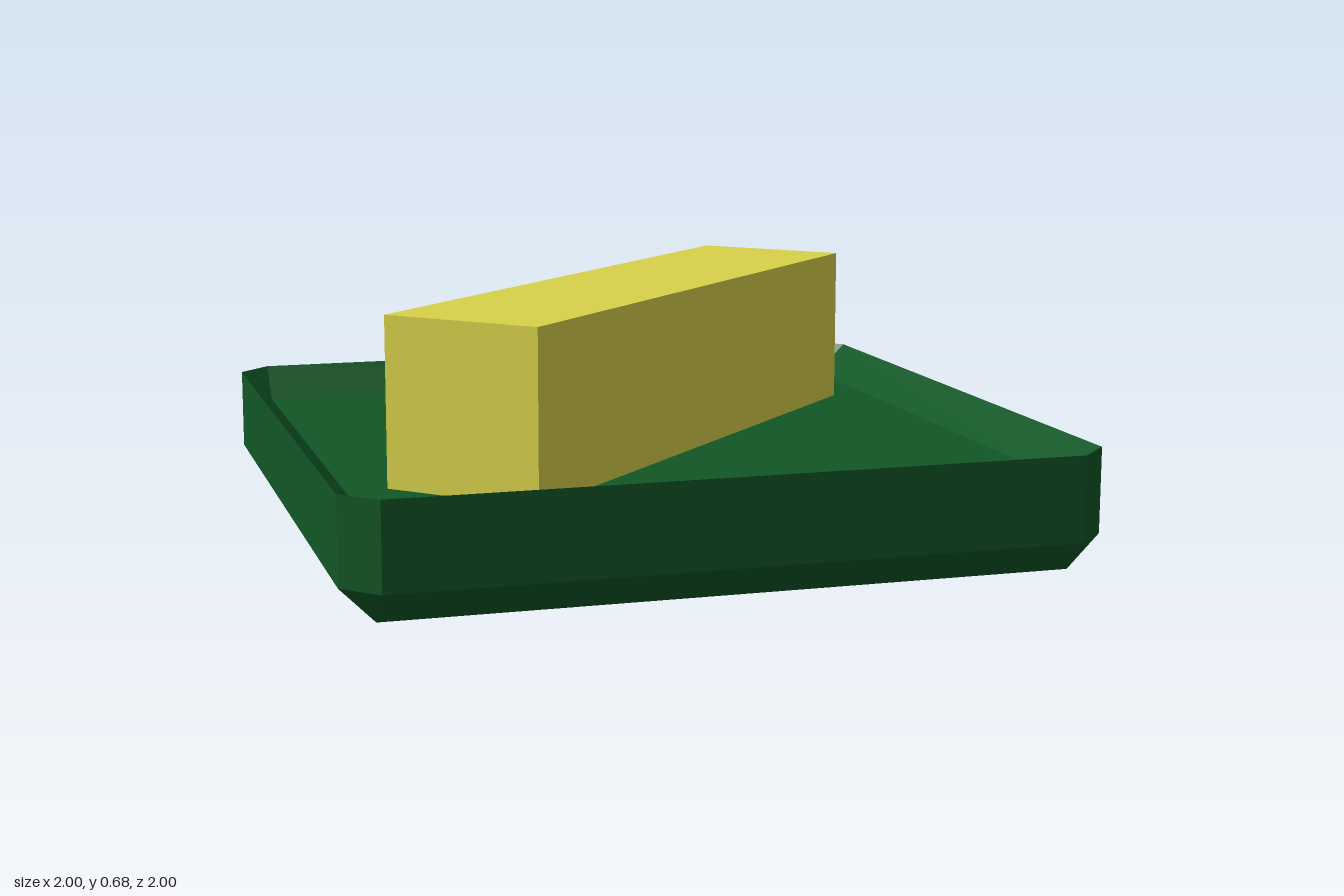
import * as THREE from 'three';

const green = new THREE.MeshStandardMaterial({ color: 0x115626 });
green.name = 'dark green';
const yellow = new THREE.MeshStandardMaterial({ color: 0xd8d24a });
yellow.name = 'yellow';

const BEVEL = 0.09, INNER = 1 - BEVEL, RIM = 0.32, FLOOR = RIM - BEVEL;

// Square outline with cut corners; a limit of INNER collapses the cuts to sharp corners
const outline = [
  [1, -INNER], [1, INNER], [INNER, 1], [-INNER, 1],
  [-1, INNER], [-1, -INNER], [-INNER, -1], [INNER, -1],
];
function ring(limit, y) {
  const c = (v) => THREE.MathUtils.clamp(v, -limit, limit);
  return outline.map(([x, z]) => new THREE.Vector3(c(x), y, c(z)));
}

// Skin successive rings with flat faces, skipping collapsed triangles
function skin(rings) {
  const points = [];
  const tri = new THREE.Triangle();
  const add = (a, b, c) => {
    if (tri.set(a, b, c).getArea() > 1e-6) points.push(a, b, c);
  };
  for (let r = 0; r < rings.length - 1; r++) {
    const lo = rings[r], hi = rings[r + 1];
    for (let i = 0; i < lo.length; i++) {
      const j = (i + 1) % lo.length;
      add(lo[i], hi[i], hi[j]);
      add(lo[i], hi[j], lo[j]);
    }
  }
  const geometry = new THREE.BufferGeometry().setFromPoints(points);
  geometry.computeVertexNormals();
  return geometry;
}

export function createModel() {
  const model = new THREE.Group();
  model.name = 'trayWithBar';

  // Shallow tray: bevelled underside, upright sides, rim sloping in to a sunken floor
  const tray = new THREE.Mesh(skin([
    ring(0, 0),
    ring(INNER, 0),
    ring(1, BEVEL),
    ring(1, RIM),
    ring(INNER, FLOOR),
    ring(0, FLOOR),
  ]), green);
  tray.name = 'tray';
  model.add(tray);

  // Diagonal bar standing on the tray floor
  const top = 0.68, height = top - FLOOR;
  const bar = new THREE.Mesh(
    new THREE.BoxGeometry(1.28 * Math.SQRT2, height, 0.32 * Math.SQRT2), yellow);
  bar.name = 'diagonalBar';
  bar.position.y = FLOOR + height / 2;
  bar.rotation.y = Math.PI / 4;
  model.add(bar);

  return model;
}
